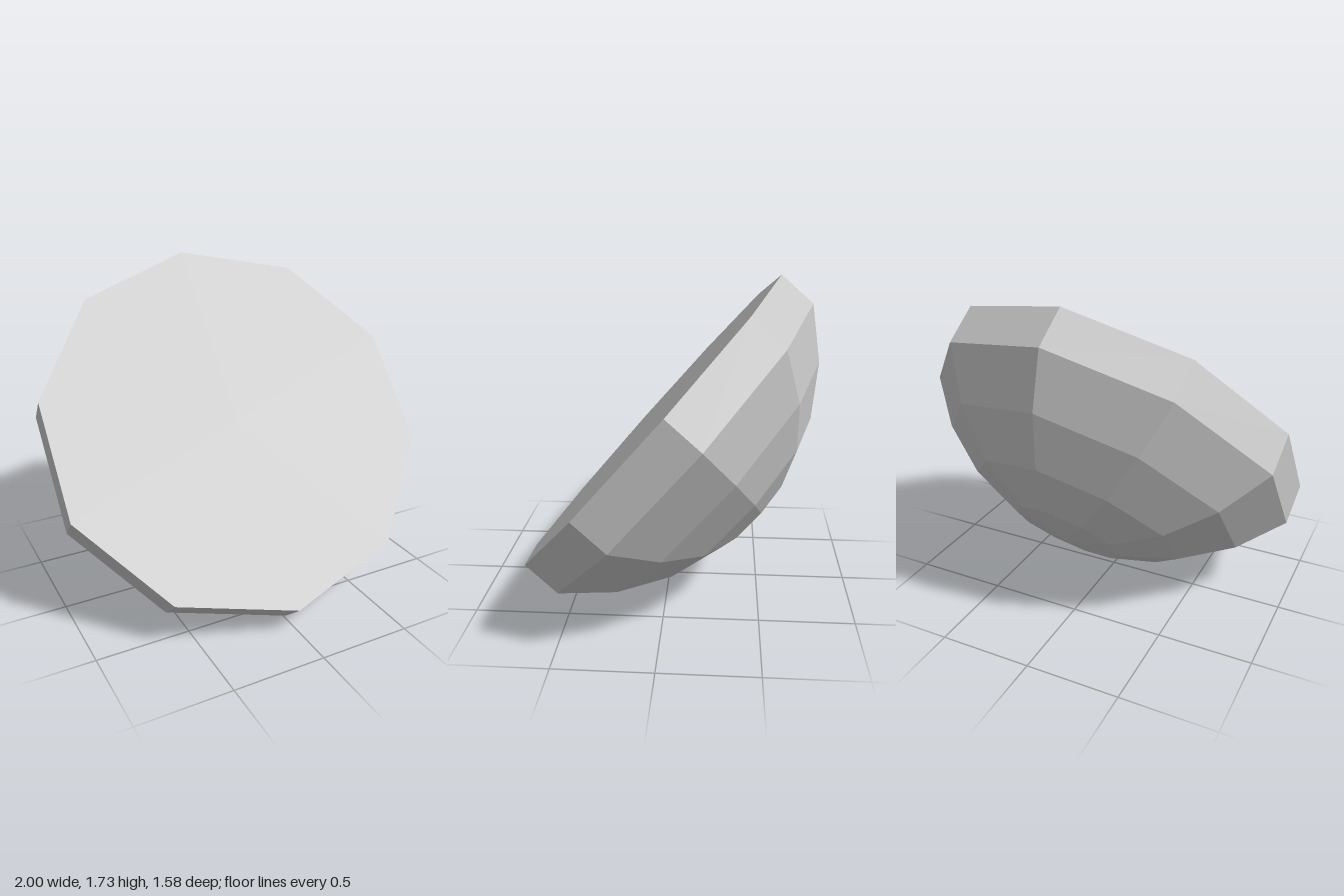
import * as THREE from 'three';

export function createModel() {
  const model = new THREE.Group();
  model.name = 'tiltedDome';
  const stone = new THREE.MeshStandardMaterial({ color: 0xc8c8c8, flatShading: true });
  stone.name = 'pale grey';

  const sides = 10, radius = 1.045, rimHeight = 0.222;
  const sphereRadius = 1.255, capAngle = Math.asin(radius / sphereRadius), rings = 4;

  const body = new THREE.Group();
  body.name = 'body';
  const add = (name, geometry) => {
    const mesh = new THREE.Mesh(geometry, stone);
    mesh.name = name;
    body.add(mesh);
    return mesh;
  };

  // Flat face, centred on the body's origin and facing its +y
  add('flatFace', new THREE.CircleGeometry(radius, sides, Math.PI / 2).rotateX(-Math.PI / 2));

  // Straight rim below the face
  add('rim', new THREE.CylinderGeometry(radius, radius, rimHeight, sides, 1, true))
    .position.y = -rimHeight / 2;

  // Shallow spherical cap, profiled from its pole out to the rim
  const profile = [];
  for (let i = 0; i <= rings; i++) {
    const a = (capAngle * i) / rings;
    profile.push(new THREE.Vector2(
      sphereRadius * Math.sin(a),
      -rimHeight - sphereRadius * (Math.cos(a) - Math.cos(capAngle))
    ));
  }
  add('dome', new THREE.LatheGeometry(profile, sides));

  // Lean the body so the face looks up and forward
  const normal = new THREE.Vector3(-0.087, 0.651, 0.754).normalize();
  const down = new THREE.Vector3(0, -0.757, 0.654).normalize();
  const across = new THREE.Vector3().crossVectors(normal, down).normalize();
  down.crossVectors(across, normal);
  body.quaternion.setFromRotationMatrix(new THREE.Matrix4().makeBasis(across, normal, down));
  body.position.set(-0.01, 0.937, 0.103);
  model.add(body);
  return model;
}
